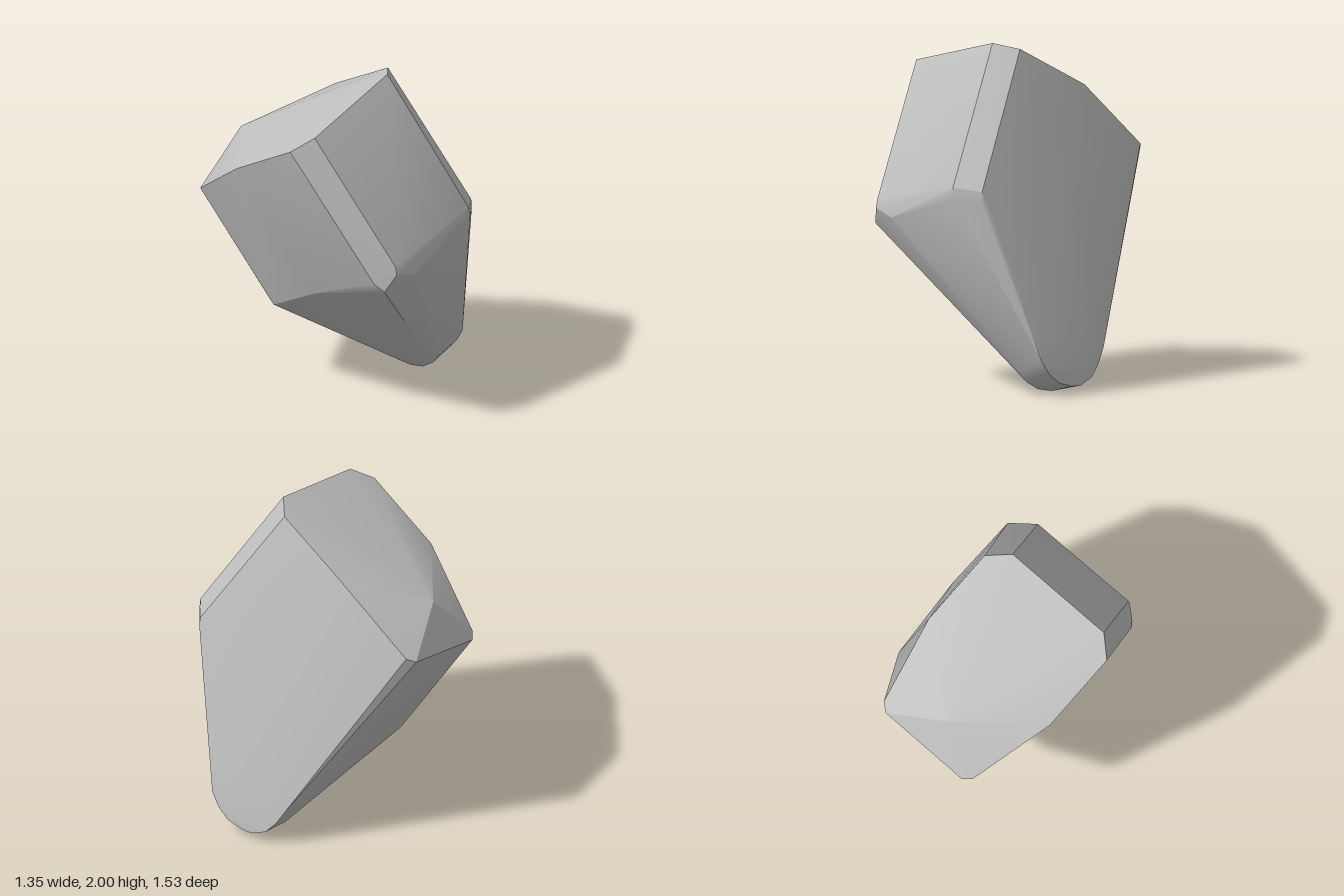
import * as THREE from 'three';
import { ConvexGeometry } from 'three/addons/geometries/ConvexGeometry.js';
import { toCreasedNormals } from 'three/addons/utils/BufferGeometryUtils.js';

export function createModel() {
  const group = new THREE.Group();
  group.name = 'taperedBlock';
  const grey = new THREE.MeshStandardMaterial({ color: 0xc0c0c0 });
  grey.name = 'grey';

  // Slanted cap, slightly peaked towards the back
  const cap = [
    [0.10, 2.00, 0.26], [0.22, 1.97, 0.15], [0.245, 1.73, -0.29],
    [0.18, 1.34, -0.735], [0.13, 1.31, -0.77], [-0.20, 1.50, -0.62],
    [-0.43, 1.16, -0.72], [-0.48, 1.18, -0.68], [-0.655, 1.50, -0.22],
    [-0.68, 1.75, 0.23], [-0.57, 1.83, 0.32],
  ];
  // Lower ends of the slanted prism, with a softened front rim
  const rim = [
    [0.32, 1.22, 0.70], [0.33, 1.16, 0.70], [0.455, 1.20, 0.59], [0.46, 1.14, 0.59],
    [-0.35, 1.08, 0.755], [-0.35, 1.03, 0.765], [-0.20, 0.99, 0.765],
    [-0.41, 0.93, 0.725], [-0.45, 0.98, 0.68],
    [-0.435, 0.77, 0.20], [-0.28, 0.50, -0.285], [-0.24, 0.49, -0.34],
  ];
  // Rounded toe: outer and inner arcs
  const toe = [
    [0.64, 0.37, 0.325], [0.665, 0.22, 0.32], [0.67, 0.14, 0.27], [0.67, 0.08, 0.20],
    [0.66, 0.05, 0.10], [0.655, 0.05, 0.03], [0.64, 0.09, -0.06], [0.62, 0.16, -0.12],
    [0.60, 0.25, -0.17],
    [0.46, 0.13, 0.33], [0.46, 0.07, 0.28], [0.46, 0.02, 0.20], [0.46, 0.00, 0.10],
    [0.45, 0.01, 0.04], [0.44, 0.05, -0.04],
  ];

  const points = [...cap, ...rim, ...toe].map((p) => new THREE.Vector3(...p));
  const body = new THREE.Mesh(toCreasedNormals(new ConvexGeometry(points), 0.4), grey);
  body.name = 'body';
  group.add(body);
  return group;
}
